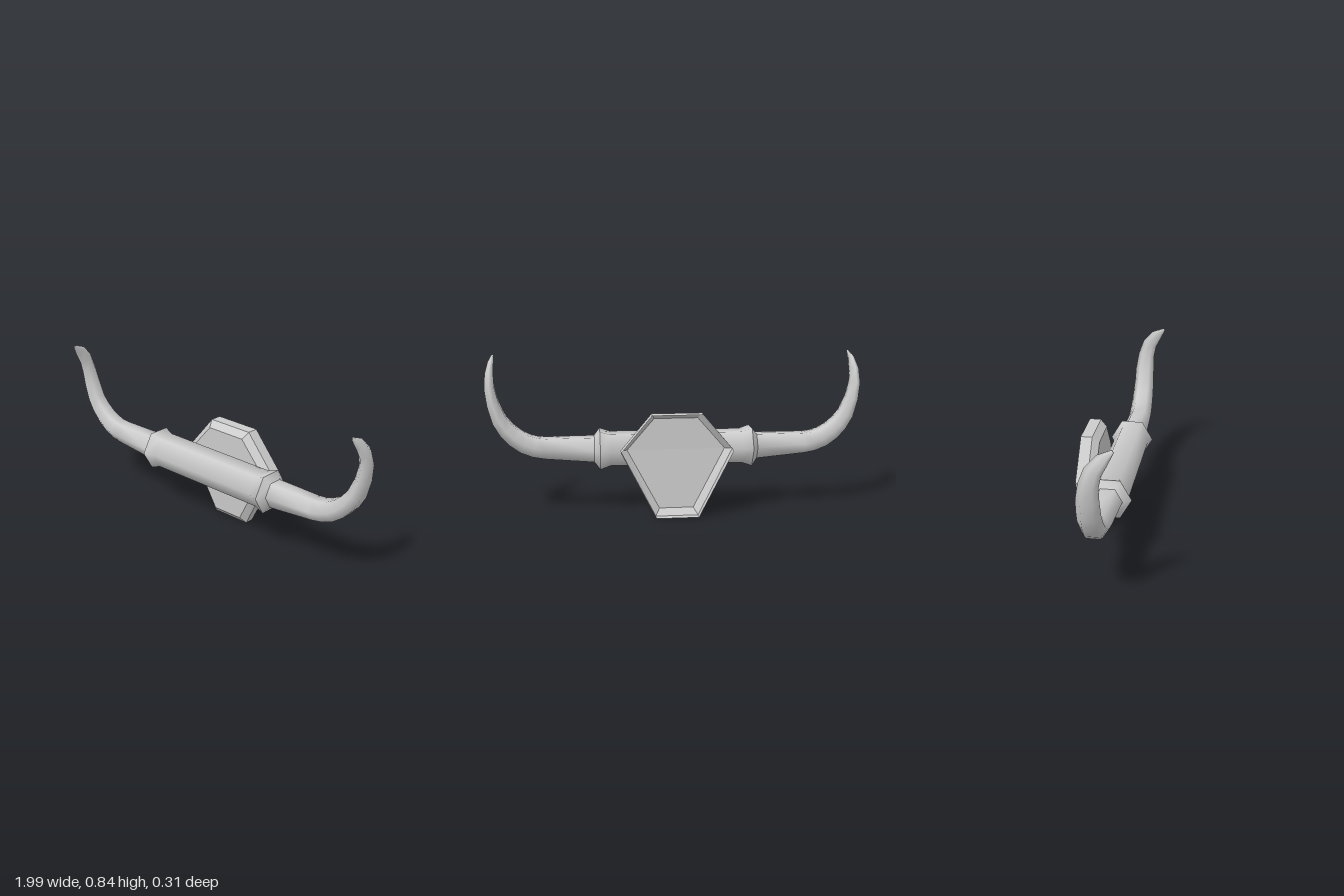
import * as THREE from 'three';
import { toCreasedNormals } from 'three/addons/utils/BufferGeometryUtils.js';

const SIDES = 6;
const END_CAP = [0, 1, 2, 0, 2, 3, 0, 3, 4, 0, 4, 5];

// Joins six-point loops into one skin and caps the last; loops run counter-clockwise about the path
function skin(loops) {
  const n = SIDES, index = [];
  for (let k = 0; k < loops.length - 1; k++) {
    for (let i = 0; i < n; i++) {
      const a = k * n + i, b = k * n + (i + 1) % n;
      index.push(a, b, b + n, a, b + n, a + n);
    }
  }
  const last = (loops.length - 1) * n;
  index.push(...END_CAP.map(i => i + last));
  const geometry = new THREE.BufferGeometry().setFromPoints(loops.flat());
  geometry.setIndex(index);
  geometry.computeVertexNormals();
  return geometry;
}

// Horn: six-sided sections [x, y, z, half thickness, half depth] from the collar to the tip
const HORN = [
  [0.42, 0.34, 0.037, 0.066, 0.075],
  [0.69, 0.351, 0.037, 0.054, 0.066],
  [0.745, 0.359, 0.037, 0.052, 0.065],
  [0.797, 0.378, 0.036, 0.050, 0.064],
  [0.845, 0.409, 0.036, 0.047, 0.062],
  [0.889, 0.452, 0.036, 0.043, 0.060],
  [0.925, 0.505, 0.036, 0.038, 0.057],
  [0.955, 0.59, 0.036, 0.031, 0.054],
  [0.971, 0.67, 0.043, 0.026, 0.047],
  [0.972, 0.737, 0.063, 0.022, 0.042],
  [0.966, 0.793, 0.104, 0.015, 0.032],
  [0.957, 0.832, 0.149, 0.005, 0.008],
];

function hornGeometry(side) {
  const centers = HORN.map(([x, y, z]) => new THREE.Vector3(side * x, y, z));
  const loops = centers.map((c, k) => {
    const before = centers[Math.max(k - 1, 0)];
    const after = centers[Math.min(k + 1, centers.length - 1)];
    const t = after.clone().sub(before).normalize();
    const normal = new THREE.Vector3(-t.y, t.x, 0).normalize();
    const across = t.clone().cross(normal);
    const [, , , thick, depth] = HORN[k];
    return Array.from({ length: SIDES }, (_, i) => {
      const a = i / SIDES * Math.PI * 2;
      return c.clone()
        .addScaledVector(across, depth * Math.cos(a))
        .addScaledVector(normal, -thick * Math.sin(a) / Math.sin(Math.PI / 3));
    });
  });
  return skin(loops);
}

// Sleeve: hexagonal tube with a flared collar at each end, closing in on the horns
function sleeveGeometry() {
  const half = [[0.435, 0.074], [0.405, 0.117], [0.35, 0.097]];
  const profile = [
    ...half.map(([x, r]) => new THREE.Vector2(r, -x)),
    ...half.slice().reverse().map(([x, r]) => new THREE.Vector2(r, x)),
  ];
  const geometry = new THREE.LatheGeometry(profile, SIDES);
  geometry.rotateZ(Math.PI / 2);
  return toCreasedNormals(geometry, 1.13);
}

// Plaque loop: rows are [half width, y, z] for top, widest and bottom
function plaqueLoop([top, mid, low]) {
  const v = ([w, y, z], s) => new THREE.Vector3(0.008 + s * w, y, z);
  return [v(mid, 1), v(top, 1), v(top, -1), v(mid, -1), v(low, -1), v(low, 1)];
}

export function createModel() {
  const group = new THREE.Group();
  const grey = new THREE.MeshStandardMaterial({ color: 0xcccccc });
  const flat = new THREE.MeshStandardMaterial({
    color: 0xcccccc, flatShading: true, side: THREE.DoubleSide,
  });
  const add = (name, geometry, material) => {
    const mesh = new THREE.Mesh(geometry, material);
    mesh.name = name;
    group.add(mesh);
    return mesh;
  };

  // Horns, mirrored across x
  add('leftHorn', hornGeometry(1), grey);
  add('rightHorn', hornGeometry(-1), grey);

  // Central sleeve holding both horns
  add('sleeve', sleeveGeometry(), grey).position.set(0, 0.34, 0.037);

  // Wall plaque: open-backed shell with a bevelled front
  const plaque = [
    [[0.132, 0.548, -0.155], [0.294, 0.355, -0.155], [0.112, 0, -0.155]],
    [[0.132, 0.548, -0.095], [0.294, 0.355, -0.095], [0.112, 0, -0.108]],
    [[0.115, 0.515, -0.06], [0.258, 0.35, -0.06], [0.09, 0.035, -0.077]],
  ].map(plaqueLoop);
  add('plaque', skin(plaque), flat);

  return group;
}
